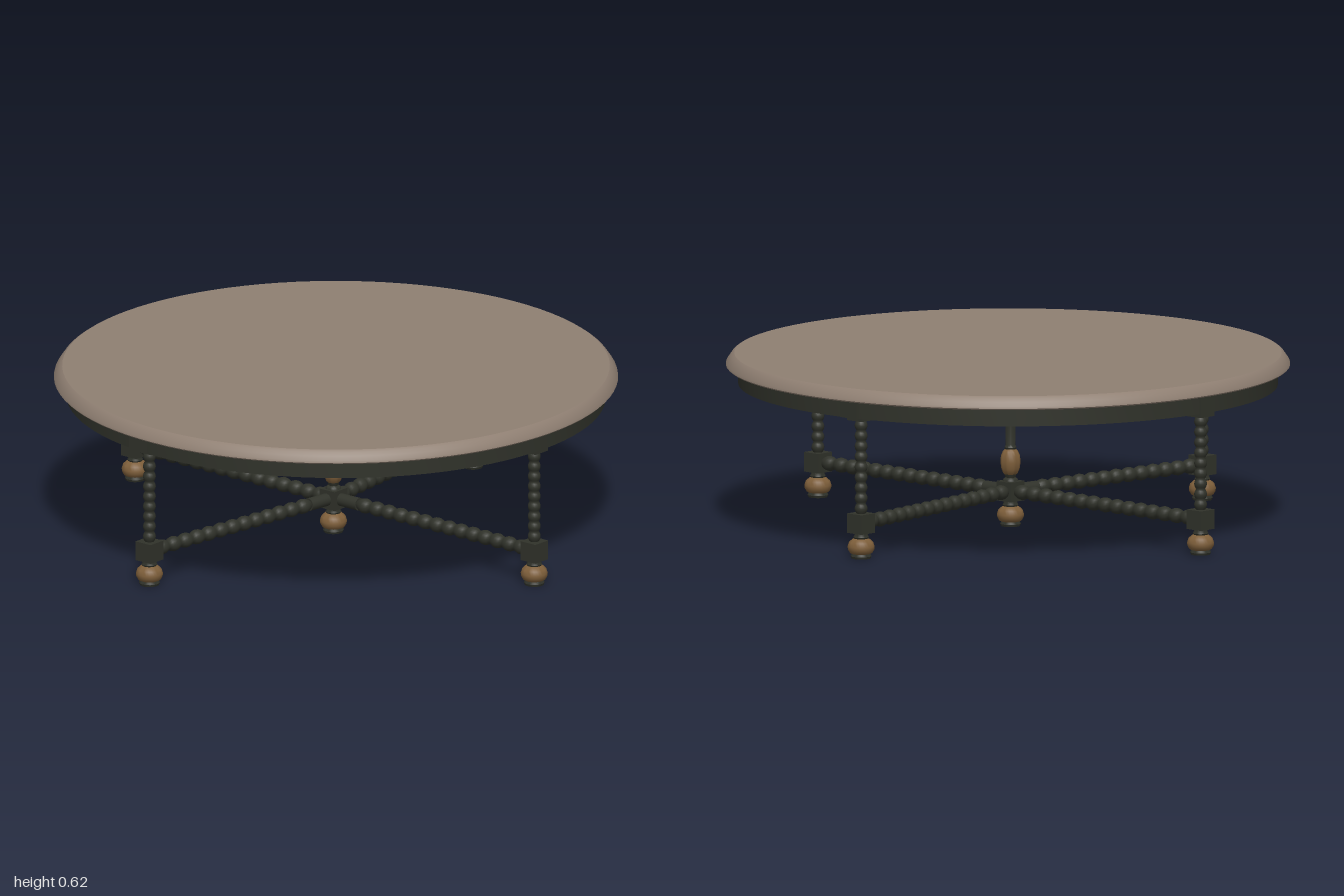
import * as THREE from 'three';
import { toCreasedNormals } from 'three/addons/utils/BufferGeometryUtils.js';

const topWood = new THREE.MeshStandardMaterial({ color: 0x8f7f72 });
topWood.name = 'taupe top';
const darkWood = new THREE.MeshStandardMaterial({ color: 0x30322a });
darkWood.name = 'dark wood';
const gold = new THREE.MeshStandardMaterial({ color: 0x7d5e3a });
gold.name = 'antique gold';

function add(parent, name, geometry, material, x = 0, y = 0, z = 0) {
  const mesh = new THREE.Mesh(geometry, material);
  mesh.name = name;
  mesh.position.set(x, y, z);
  parent.add(mesh);
  return mesh;
}

// Turned shape from [radius, height] pairs listed upwards
function turned(profile, segments = 24, crease = 0.7) {
  const points = profile.map(([r, y]) => new THREE.Vector2(r, y));
  return toCreasedNormals(new THREE.LatheGeometry(points, segments), crease);
}

// Row of rounded beads along y, starting at 0
function beads(length, count, rMin, rMax) {
  const points = [];
  const steps = count * 6;
  for (let i = 0; i <= steps; i++) {
    const wave = Math.abs(Math.sin((Math.PI * i) / 6));
    points.push(new THREE.Vector2(rMin + (rMax - rMin) * wave, (length * i) / steps));
  }
  return new THREE.LatheGeometry(points, 18);
}

// Base block, gold bun and dark pad shared by every leg
function addFoot(leg) {
  add(leg, 'footPad', turned([[0, 0], [0.034, 0], [0.037, 0.008], [0.032, 0.02], [0, 0.02]]), darkWood);
  add(leg, 'bunFoot', turned([
    [0.028, 0.014], [0.04, 0.02], [0.047, 0.032], [0.048, 0.043],
    [0.043, 0.058], [0.032, 0.068], [0.024, 0.072],
  ], 28, 1.2), gold);
  add(leg, 'footNeck', turned([[0.024, 0.068], [0.028, 0.076], [0.024, 0.084], [0.024, 0.095]]), darkWood);
  add(leg, 'lowerBlock', new THREE.BoxGeometry(0.07, 0.07, 0.07), darkWood, 0, 0.126, 0);
}

export function createModel() {
  const table = new THREE.Group();
  table.name = 'roundTable';

  // Top with a softly rounded upper edge
  add(table, 'tableTop', turned([
    [0, 0.575], [0.995, 0.575], [1, 0.58], [0.998, 0.588], [0.988, 0.602],
    [0.98, 0.614], [0.97, 0.621], [0, 0.621],
  ], 96, 0.6), topWood);

  // Apron ring
  const apron = add(table, 'apron', turned([
    [0.925, 0.51], [0.963, 0.51], [0.963, 0.576], [0.925, 0.576], [0.925, 0.51],
  ], 96), darkWood);
  apron.scale.z = 0.985;

  const centre = new THREE.Vector3(-0.012, 0, 0);
  const corners = [
    { x: 0.922, z: 0, plain: 0.09 },
    { x: -0.934, z: 0, plain: 0 },
    { x: -0.115, z: 0.885, plain: 0.09 },
    { x: -0.115, z: -0.885, plain: 0 },
  ];

  for (const { x, z, plain } of corners) {
    // Outer leg
    const leg = new THREE.Group();
    leg.name = 'leg';
    leg.position.set(x, 0, z);
    table.add(leg);
    addFoot(leg);
    add(leg, 'beadedColumn', beads(0.335, 9, 0.016, 0.023), darkWood, 0, 0.16, 0);
    add(leg, 'upperBlock', new THREE.BoxGeometry(0.07, 0.08, 0.07), darkWood, 0, 0.536, 0);
    // Block joining the apron segments
    if (z !== 0) {
      add(leg, 'apronBlock', new THREE.BoxGeometry(0.08, 0.066, 0.08), darkWood, 0, 0.543, Math.sign(z) * 0.026);
    }

    // Stretcher from the centre post to this leg
    const dir = new THREE.Vector3(x, 0, z).sub(centre);
    const length = dir.length() - 0.06;
    dir.normalize();
    const stretcher = new THREE.Group();
    stretcher.name = 'stretcher';
    stretcher.position.copy(centre).addScaledVector(dir, 0.03).setY(0.126);
    stretcher.quaternion.setFromUnitVectors(new THREE.Vector3(0, 1, 0), dir);
    table.add(stretcher);
    if (plain) {
      add(stretcher, 'plainEnd', new THREE.CylinderGeometry(0.023, 0.023, plain, 18), darkWood, 0, plain / 2, 0);
    }
    add(stretcher, 'beadedRail', beads(length - plain, Math.round((length - plain) / 0.056), 0.017, 0.027),
      darkWood, 0, plain, 0);
  }

  // Centre post with a gold vase turning
  const post = new THREE.Group();
  post.name = 'centrePost';
  post.position.copy(centre);
  table.add(post);
  addFoot(post);
  add(post, 'postNeck', turned([[0.028, 0.16], [0.026, 0.168], [0.018, 0.174], [0.022, 0.186]]), darkWood);
  add(post, 'vase', turned([
    [0.018, 0.182], [0.026, 0.19], [0.033, 0.207], [0.036, 0.23],
    [0.034, 0.252], [0.027, 0.268], [0.018, 0.277],
  ], 28, 1.2), gold);
  add(post, 'postColumn', turned([
    [0.017, 0.27], [0.022, 0.282], [0.017, 0.29], [0.019, 0.38], [0.018, 0.48], [0.024, 0.49], [0.024, 0.5],
  ]), darkWood);
  add(post, 'postBlock', new THREE.BoxGeometry(0.07, 0.08, 0.07), darkWood, 0, 0.536, 0);

  return table;
}
